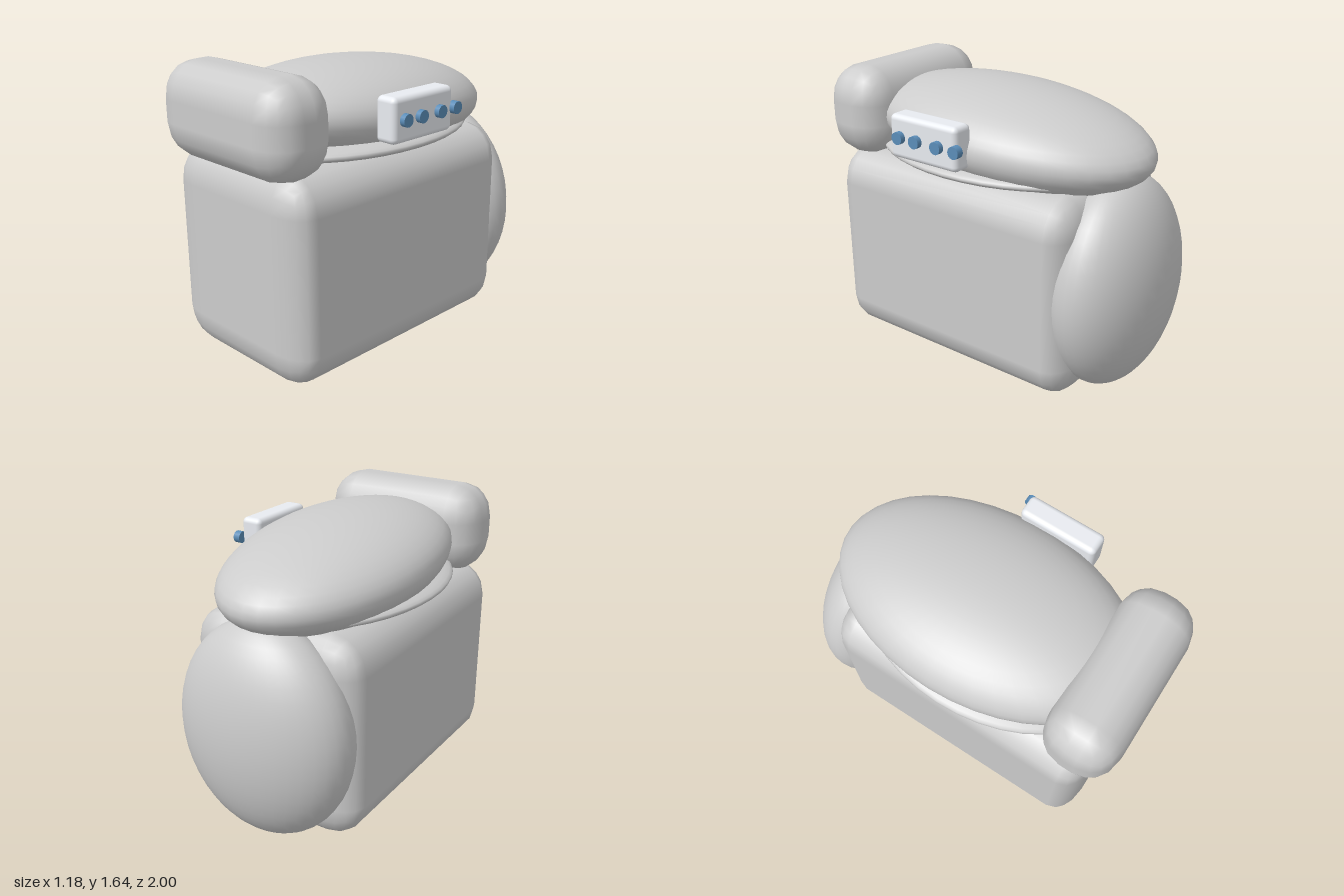
import * as THREE from 'three';
import { RoundedBoxGeometry } from 'three/addons/geometries/RoundedBoxGeometry.js';

const CX = -0.05; // centre line of the upholstery

export function createModel() {
  const model = new THREE.Group();
  const grey = new THREE.MeshStandardMaterial({ color: 0xcccccc });
  const casing = new THREE.MeshStandardMaterial({ color: 0xe8ebf0 });
  const blue = new THREE.MeshStandardMaterial({ color: 0x5b8db8 });

  function add(name, geometry, material, position) {
    const mesh = new THREE.Mesh(geometry, material);
    mesh.name = name;
    mesh.position.set(...position);
    model.add(mesh);
    return mesh;
  }

  // Rounded block with its own corner radius along each axis
  function block(size, radii, segments = 2) {
    const [w, h, d] = size.map((s, i) => s / radii[i]);
    return new RoundedBoxGeometry(w, h, d, segments, 1).scale(...radii);
  }

  function ellipsoid(rx, ry, rz) {
    return new THREE.SphereGeometry(1, 40, 24).scale(rx, ry, rz);
  }

  // Main padded body and the bolster across its front
  add('body', block([1.04, 1.15, 1.6], [0.2, 0.2, 0.13]), grey, [CX, 0.605, 0.11]);
  add('frontBolster', block([1.0, 0.52, 0.41], [0.18, 0.2, 0.17]), grey, [CX, 1.39, 0.795]);

  // Domed cushion, sloping down to the rear, on a flat rim
  const cushion = add('topCushion', ellipsoid(0.53, 0.262, 0.865), grey, [CX, 1.342, 0]);
  cushion.rotation.x = -0.07;
  add('cushionRim', ellipsoid(0.545, 0.08, 0.78), grey, [CX, 1.21, 0.06]);

  // Bulging rear pad
  add('rearPad', ellipsoid(0.523, 0.61, 0.3), grey, [CX, 0.615, -0.7]);

  // Control box on the left side with a row of round buttons
  add('controlBox', block([0.13, 0.24, 0.45], [0.03, 0.03, 0.03], 3), casing, [0.495, 1.39, 0.13]);
  const buttonGeometry = new THREE.CylinderGeometry(0.034, 0.034, 0.04, 20).rotateZ(-Math.PI / 2);
  [0.28, 0.165, 0.02, -0.1].forEach((z, i) => {
    add(`button${i + 1}`, buttonGeometry, blue, [0.57, 1.393, z]);
  });

  return model;
}
